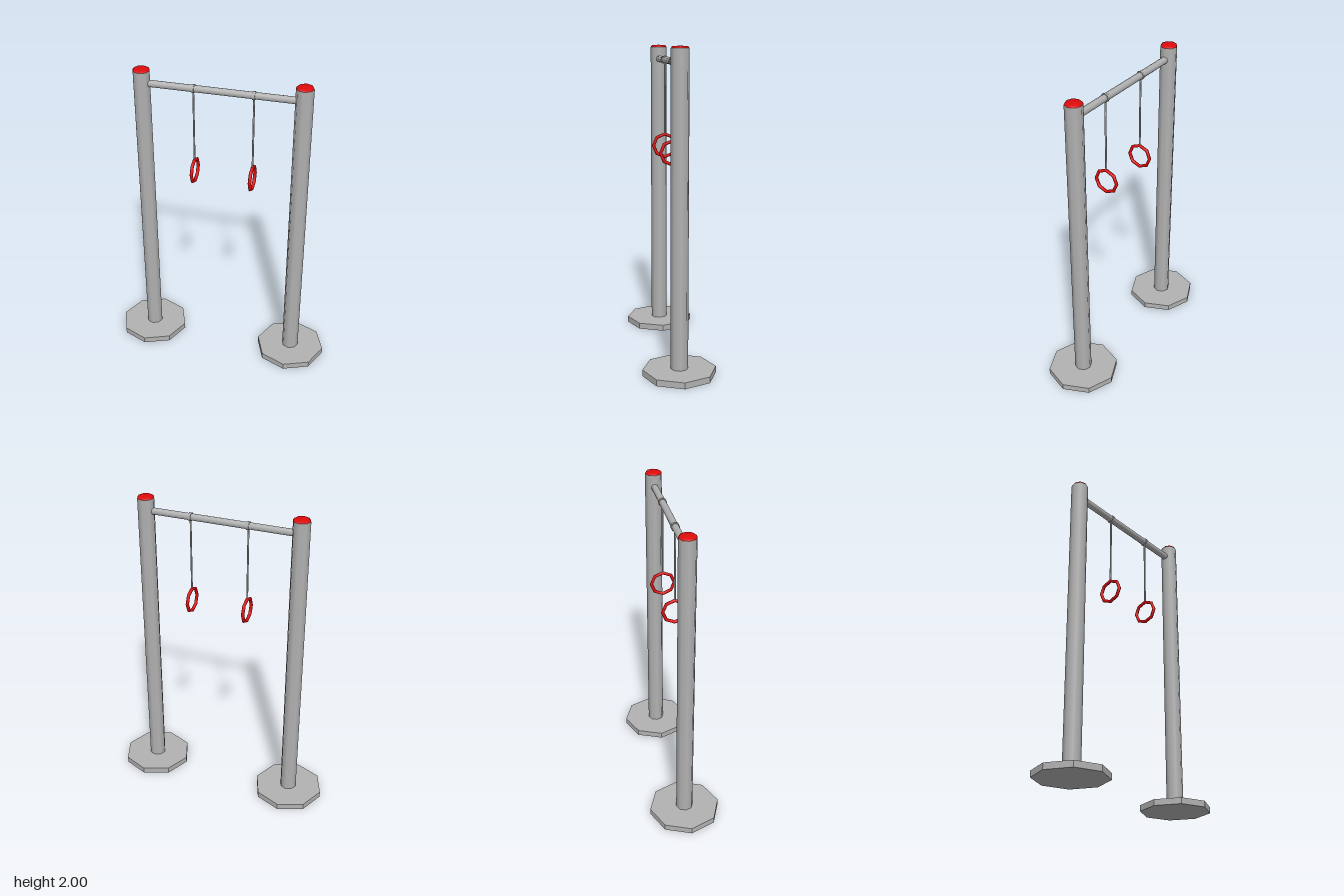
import * as THREE from 'three';

export function createModel() {
  const model = new THREE.Group();
  const steel = new THREE.MeshStandardMaterial({ color: 0xb2b2b2 });
  steel.name = 'grey steel';
  const red = new THREE.MeshStandardMaterial({ color: 0xdc0c0c });
  red.name = 'red';

  const add = (parent, name, geometry, material, x, y, z = 0) => {
    const mesh = new THREE.Mesh(geometry, material);
    mesh.name = name;
    mesh.position.set(x, y, z);
    parent.add(mesh);
    return mesh;
  };

  // Octagonal foot plate with crisp facets
  const footGeometry = new THREE.CylinderGeometry(0.23, 0.23, 0.04, 8).toNonIndexed();
  footGeometry.computeVertexNormals();
  const postGeometry = new THREE.CylinderGeometry(0.055, 0.055, 1.95, 8);
  // Shallow domed cap
  const capGeometry = new THREE.LatheGeometry(
    [[0.055, 0], [0.047, 0.011], [0, 0.015]].map(([r, y]) => new THREE.Vector2(r, y)), 8);

  // Two upright posts
  for (const [side, x] of [['right', -0.503], ['left', 0.503]]) {
    const upright = new THREE.Group();
    upright.name = side + 'Upright';
    upright.position.x = x;
    add(upright, 'footPlate', footGeometry, steel, 0, 0.02);
    add(upright, 'post', postGeometry, steel, 0, 1.01);
    add(upright, 'postCap', capGeometry, red, 0, 1.985);
    model.add(upright);
  }

  // Crossbar between the posts
  const bar = new THREE.CylinderGeometry(0.023, 0.023, 0.94, 8).rotateZ(Math.PI / 2);
  add(model, 'crossbar', bar, steel, 0, 1.904);

  // Hanging rings: collar, cable and octagonal ring
  const collarGeometry = new THREE.CylinderGeometry(0.028, 0.028, 0.016, 8).rotateZ(Math.PI / 2);
  const cableGeometry = new THREE.CylinderGeometry(0.006, 0.006, 0.48, 8);
  const ringGeometry = new THREE.TorusGeometry(0.076, 0.011, 8, 8).rotateY(Math.PI / 2);
  for (const [side, x] of [['right', -0.175], ['left', 0.202]]) {
    const hanger = new THREE.Group();
    hanger.name = side + 'Hanger';
    hanger.position.x = x;
    add(hanger, 'collar', collarGeometry, steel, 0, 1.904);
    add(hanger, 'cable', cableGeometry, steel, 0, 1.655);
    add(hanger, 'ring', ringGeometry, red, 0, 1.34);
    model.add(hanger);
  }

  return model;
}
